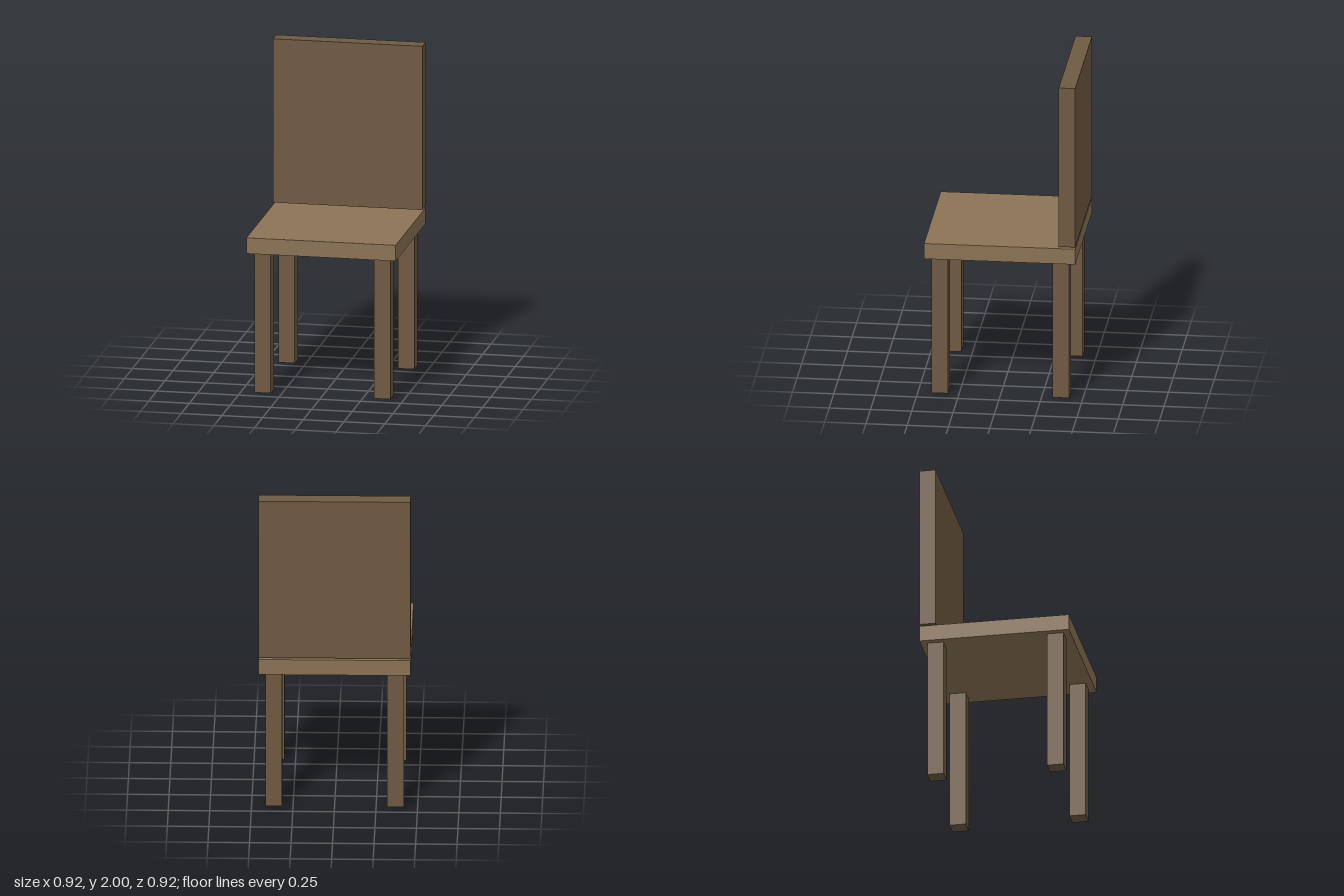
import * as THREE from 'three';

export function createModel() {
  const chair = new THREE.Group();
  chair.name = 'chair';
  const lightWood = new THREE.MeshStandardMaterial({ color: 0x8b7355 });
  const darkWood = new THREE.MeshStandardMaterial({ color: 0x6f5a42 });

  const width = 0.916, thick = 0.1;
  const seatBottom = 0.872, seatTop = 0.97, backBottom = 0.982;

  // Box standing on height y0 and ending at y1
  function addBox(name, w, d, x, y0, y1, z, material) {
    const mesh = new THREE.Mesh(new THREE.BoxGeometry(w, y1 - y0, d), material);
    mesh.name = name;
    mesh.position.set(x, (y0 + y1) / 2, z);
    chair.add(mesh);
  }

  // Seat slab
  addBox('seat', width, width, 0, seatBottom, seatTop, 0, lightWood);

  // Backrest panel, floating just above the rear edge of the seat
  addBox('backrest', width, thick, 0, backBottom, 2, -(width - thick) / 2, darkWood);

  // Four square legs, set in slightly from the corners
  const inset = 0.367;
  for (const [side, sx] of [['Left', 1], ['Right', -1]]) {
    for (const [end, sz] of [['front', 1], ['back', -1]]) {
      addBox(`${end}${side}Leg`, thick, thick, sx * inset, 0, seatBottom, sz * inset, darkWood);
    }
  }
  return chair;
}
